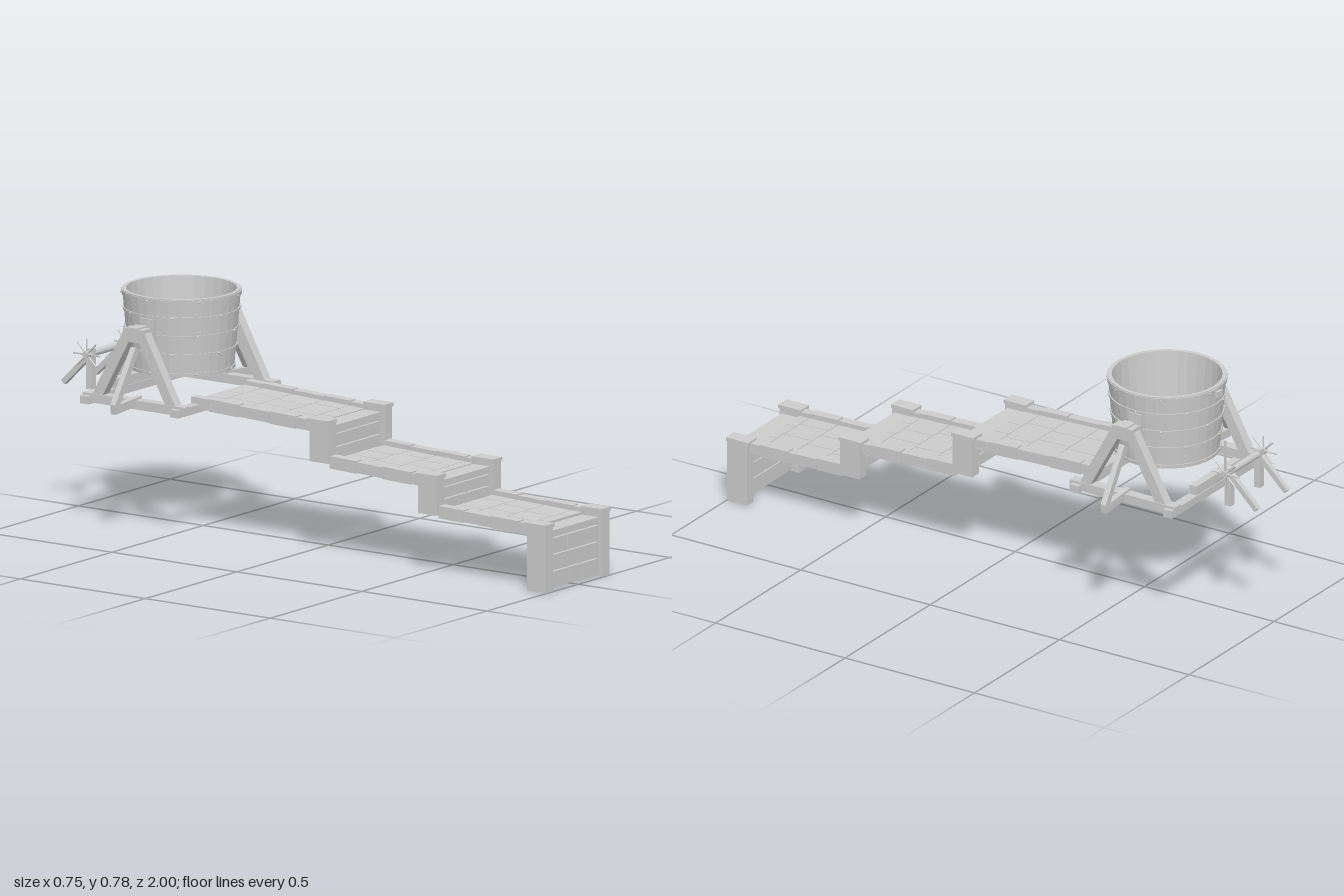
import * as THREE from 'three';

const stone = new THREE.MeshStandardMaterial({ color: 0xcccccc, flatShading: true });
stone.name = 'pale grey';

export function createModel() {
  const root = new THREE.Group();
  root.name = 'tubAndSteppedPath';

  const group = (name, parent = root) => {
    const g = new THREE.Group();
    g.name = name;
    parent.add(g);
    return g;
  };
  const add = (parent, name, geo) => {
    const m = new THREE.Mesh(geo, stone);
    m.name = name;
    parent.add(m);
    return m;
  };
  // Box from its minimum and maximum corners
  const box = (parent, name, x0, x1, y0, y1, z0, z1) => {
    const m = add(parent, name, new THREE.BoxGeometry(x1 - x0, y1 - y0, z1 - z0));
    m.position.set((x0 + x1) / 2, (y0 + y1) / 2, (z0 + z1) / 2);
    return m;
  };
  // Straight timber between two points, w wide and h deep
  const beam = (parent, name, a, b, w, h) => {
    const p = new THREE.Vector3(...a), q = new THREE.Vector3(...b);
    const m = add(parent, name, new THREE.BoxGeometry(w, h, p.distanceTo(q)));
    m.position.copy(p).add(q).multiplyScalar(0.5);
    m.lookAt(q);
    return m;
  };
  const rod = (parent, name, r, length, x, y, z) => {
    const m = add(parent, name, new THREE.CylinderGeometry(r, r, length, 10));
    m.rotation.z = Math.PI / 2;
    m.position.set(x, y, z);
    return m;
  };

  // Retaining walls with brick rows, coping and a capped post on each side
  const walls = [
    { z: 0.96, y0: 0, top: 0.225, cope: [0.175, 0.197],
      rows: [[0.008, 0.06, -0.03, 0.045], [0.064, 0.115, -0.065, 0.03], [0.119, 0.17, -0.037, 0.077]] },
    { z: 0.525, y0: 0.2, top: 0.333, cope: [0.286, 0.308],
      rows: [[0.207, 0.243, -0.042, 0.018], [0.247, 0.282, -0.08, 0.024]] },
    { z: 0.09, y0: 0.315, top: 0.457, cope: [0.406, 0.432],
      rows: [[0.32, 0.358, -0.105, 0.01], [0.362, 0.402, -0.09, 0.017]] },
  ];
  for (const w of walls) {
    const g = group('steppedWall');
    for (const [y0, y1, a, b] of w.rows) {
      const cuts = [-0.13, a, b, 0.13];
      for (let i = 0; i < 3; i++)
        box(g, 'brick', cuts[i] + 0.0015, cuts[i + 1] - 0.0015, y0, y1, w.z - 0.012, w.z + 0.024);
    }
    box(g, 'coping', -0.13, 0.13, ...w.cope, w.z - 0.045, w.z + 0.026);
    for (const s of [-1, 1]) {
      const post = group('post', g);
      const x = s * 0.154;
      box(post, 'postShaft', x - 0.02, x + 0.02, w.y0, w.top - 0.012, w.z - 0.038, w.z + 0.038);
      box(post, 'postCap', x - 0.025, x + 0.025, w.top - 0.012, w.top, w.z - 0.046, w.z + 0.04);
    }
  }

  // Gently rising paved ramps: z breaks, top at the front end, top at the back end
  const ramps = [
    { z: [0.92, 0.88, 0.77, 0.66, 0.56], y: [0.219, 0.23] },
    { z: [0.485, 0.45, 0.335, 0.23, 0.125], y: [0.325, 0.338] },
    { z: [0.05, -0.01, -0.115, -0.24, -0.36, -0.43], y: [0.449, 0.466] },
  ];
  const splits = [[-0.05, 0.06], [-0.075, 0.02], [-0.03, 0.05], [-0.055, 0.075], [-0.04, 0.04]];
  ramps.forEach((r, k) => {
    const g = group('pavedRamp');
    const first = r.z[0], last = r.z[r.z.length - 1];
    const topAt = (z) => r.y[0] + (r.y[1] - r.y[0]) * (first - z) / (first - last);
    for (let i = 0; i < r.z.length - 1; i++) {
      const za = r.z[i] - 0.0015, zb = r.z[i + 1] + 0.0015;
      const cuts = [-0.13, ...splits[(i + k) % 5], 0.13];
      for (let j = 0; j < 3; j++) {
        const w = cuts[j + 1] - cuts[j] - 0.003, x = (cuts[j] + cuts[j + 1]) / 2;
        beam(g, 'pavingSlab', [x, topAt(za) - 0.025, za], [x, topAt(zb) - 0.025, zb], w, 0.022);
      }
      const h = 0.036 + (i % 2) * 0.005;
      for (const s of [-1, 1])
        beam(g, 'kerb', [s * 0.148, topAt(za) - 0.019, za], [s * 0.148, topAt(zb) - 0.019, zb], 0.033, h);
    }
  });

  // Open tub with wall thickness and floor
  const cz = -0.587;
  const tub = group('tub');
  tub.position.z = cz;
  const lathe = (name, pts) =>
    add(tub, name, new THREE.LatheGeometry(pts.map(([r, y]) => new THREE.Vector2(r, y)), 32));
  lathe('tubBody', [[0, 0.517], [0.17, 0.517], [0.192, 0.776], [0.179, 0.776], [0.16, 0.538], [0, 0.538]]);
  const radius = (y) => 0.17 + (y - 0.517) * 0.085;
  [[0.517, 0.012], [0.585, 0.008], [0.646, 0.008], [0.708, 0.008], [0.757, 0.016]].forEach(([y, h], n) => {
    const a = radius(y), b = radius(y + h);
    lathe('hoop', [[a - 0.002, y], [a + 0.004, y], [b + 0.004, y + h], [b - 0.002, y + h]]);
    for (let i = 0; i < 7; i++) {
      const t = i * Math.PI * 2 / 7 + n * 0.45 + 0.24;
      const rivet = add(tub, 'rivet', new THREE.SphereGeometry(0.004, 6, 4));
      rivet.position.set(Math.sin(t) * (b + 0.004), y + h / 2, Math.cos(t) * (b + 0.004));
    }
  });
  // Tipping catch at the back rim
  box(tub, 'rimCatch', -0.012, 0.012, 0.745, 0.765, -0.207, -0.19);

  // Trestle carrying the tub
  const frame = group('trestle');
  for (const z of [-0.412, -0.772])
    box(frame, 'crossBeam', -0.28, 0.28, 0.416, 0.442, z - 0.017, z + 0.017);
  box(frame, 'restBoard', -0.13, 0.13, 0.442, 0.473, -0.786, -0.758);
  for (const s of [-1, 1]) {
    const g = group('sideFrame', frame);
    box(g, 'baseBeam', s * 0.246 - 0.018, s * 0.246 + 0.018, 0.42, 0.45, -0.79, -0.384);
    for (const d of [-1, 1])
      beam(g, 'slantedLeg', [s * 0.244, 0.44, cz + d * 0.15], [s * 0.244, 0.665, cz + d * 0.027], 0.034, 0.036);
    box(g, 'bearingBlock', s * 0.244 - 0.022, s * 0.244 + 0.022, 0.64, 0.684, cz - 0.04, cz + 0.04);
    box(g, 'bearingStrap', s * 0.244 - 0.026, s * 0.244 + 0.026, 0.65, 0.689, cz - 0.02, cz + 0.02);
    rod(g, 'axle', 0.01, 0.09, s * 0.215, 0.655, cz);
    box(g, 'axlePlate', s * 0.184 - 0.006, s * 0.184 + 0.006, 0.59, 0.705, cz - 0.025, cz + 0.025);
    beam(g, 'outrigger', [s * 0.23, 0.446, cz], [s * 0.374, 0.435, cz], 0.02, 0.028);
    beam(g, 'outriggerBrace', [s * 0.367, 0.445, cz], [s * 0.255, 0.618, cz], 0.02, 0.024);
  }

  // Winch behind the tub
  const winch = group('winch');
  const wz = -0.885, wy = 0.535;
  rod(winch, 'drum', 0.012, 0.24, 0, wy, wz);
  for (const s of [-1, 1]) {
    box(winch, 'winchPost', s * 0.087 - 0.012, s * 0.087 + 0.012, 0.418, 0.55, wz - 0.011, wz + 0.011);
    beam(winch, 'winchStrut', [s * 0.087, 0.525, wz - 0.008], [s * 0.087, 0.427, -0.993], 0.018, 0.018);
    for (let i = 0; i < 4; i++) {
      const spoke = add(winch, 'spoke', new THREE.CylinderGeometry(0.003, 0.003, 0.105, 6));
      spoke.position.set(s * 0.111, wy, wz);
      spoke.rotation.x = i * Math.PI / 4;
    }
  }
  box(winch, 'longHandle', 0.108, 0.114, wy, 0.654, wz - 0.003, wz + 0.003);

  return root;
}
